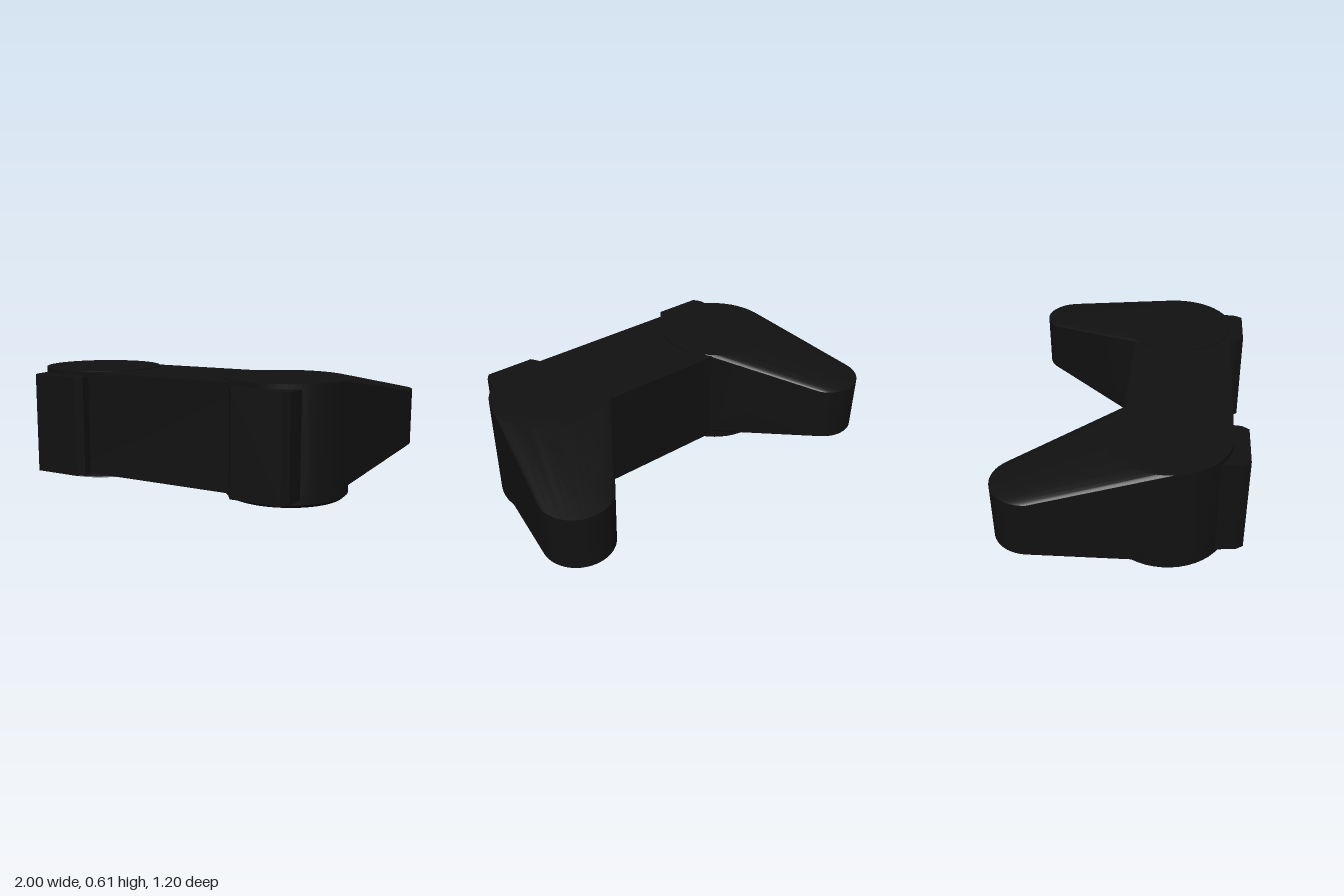
import * as THREE from 'three';
import { ConvexGeometry } from 'three/addons/geometries/ConvexGeometry.js';
import { toCreasedNormals } from 'three/addons/utils/BufferGeometryUtils.js';

const black = new THREE.MeshStandardMaterial({ color: 0x111111 });
const grey = new THREE.MeshStandardMaterial({ color: 0xcccccc });

const HUB = { x: 0.56, z: 0.21, r: 0.313 };   // wide end of each grip
const TIP = { x: 0.82, z: -0.42, r: 0.18 };   // narrow end of each grip

function add(parent, name, geometry, material, x = 0, y = 0, z = 0) {
  const mesh = new THREE.Mesh(geometry, material);
  mesh.name = name;
  mesh.position.set(x, y, z);
  parent.add(mesh);
  return mesh;
}

// Revolved solid; profile runs from the bottom axis outwards and up
function lathe(profile, segments = 48) {
  const points = profile.map(([r, y]) => new THREE.Vector2(r, y));
  return toCreasedNormals(new THREE.LatheGeometry(points, segments), 0.5);
}

// Tapered grip: the hull of a tall wide disc and a short narrow one
function gripGeometry(side) {
  const points = [];
  const ring = (c, y) => {
    for (let i = 0; i < 48; i++) {
      const a = (i / 48) * Math.PI * 2;
      points.push(new THREE.Vector3(side * (c.x + c.r * Math.cos(a)), y, c.z + c.r * Math.sin(a)));
    }
  };
  ring(HUB, 0.09);
  ring(HUB, 0.61);
  ring(TIP, 0.205);
  ring(TIP, 0.5);
  return toCreasedNormals(new ConvexGeometry(points), 0.45);
}

// Shoulder button: plan outline with clipped front corners, extruded upwards
function shoulderGeometry() {
  const outline = [[-0.165, 0.3], [0.165, 0.3], [0.165, 0.46], [0.155, 0.56], [0.13, 0.597],
    [-0.13, 0.597], [-0.155, 0.56], [-0.165, 0.46]];
  const shape = new THREE.Shape(outline.map(([x, z]) => new THREE.Vector2(x, -z)));
  const geometry = new THREE.ExtrudeGeometry(shape, { depth: 0.52, bevelEnabled: false });
  return geometry.rotateX(-Math.PI / 2);
}

export function createModel() {
  const model = new THREE.Group();
  model.name = 'gameController';

  // Centre bar between the grips
  add(model, 'centreBar', new THREE.BoxGeometry(1.12, 0.535, 0.54), black, 0, 0.3375, 0.25);

  for (const side of [1, -1]) {
    const prefix = side > 0 ? 'left' : 'right';
    add(model, prefix + 'Grip', gripGeometry(side), black);
    add(model, prefix + 'ShoulderButton', shoulderGeometry(), black, side * 0.585, 0.066, 0);
  }

  // Round plinth under the button cluster
  add(model, 'buttonPlinth',
    lathe([[0, 0.028], [0.295, 0.028], [HUB.r, 0.045], [HUB.r, 0.12]]), black, HUB.x, 0, HUB.z);

  // Four buttons in a diamond
  const button = lathe([[0, 0], [0.045, 0.001], [0.057, 0.006], [0.064, 0.016], [0.066, 0.04]], 32);
  for (let i = 0; i < 4; i++) {
    const a = (i * Math.PI) / 2;
    add(model, 'faceButton', button, grey,
      HUB.x + 0.138 * Math.cos(a), 0, HUB.z + 0.138 * Math.sin(a) + 0.01);
  }

  // Round plinth, dished ring and centre of the directional pad
  add(model, 'padPlinth',
    lathe([[0, 0.046], [HUB.r, 0.046], [HUB.r, 0.12]]), black, -HUB.x, 0, HUB.z);
  add(model, 'padRing',
    lathe([[0.17, 0.038], [0.24, 0.026], [0.265, 0.028], [0.29, 0.047]]), grey, -HUB.x, 0, HUB.z);
  add(model, 'padCentre',
    lathe([[0, 0.036], [0.175, 0.036], [0.175, 0.06]]), black, -HUB.x, 0, HUB.z);

  return model;
}
